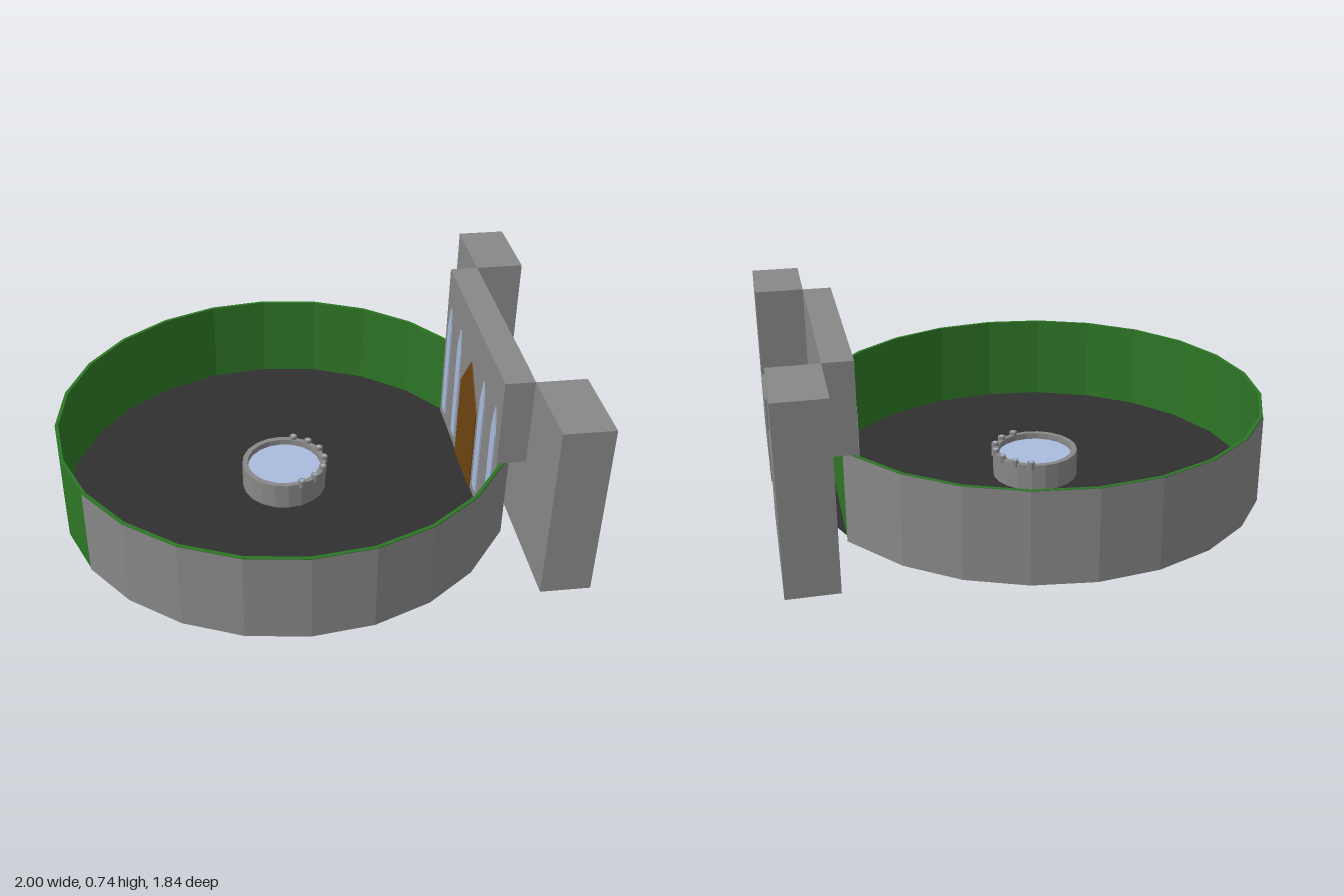
import * as THREE from 'three';

const CX = -0.08, BASE = 0.01, WALL_TOP = 0.375, HALL_TOP = 0.735;

const mat = (color, side = THREE.FrontSide) =>
  new THREE.MeshStandardMaterial({ color, flatShading: true, side });
const stone = mat(0x888888);
const green = mat(0x2d7526);
const dark = mat(0x303030);
const wood = mat(0x6e4412);
const glass = mat(0xaabbdd);

export function createModel() {
  const model = new THREE.Group();

  const add = (name, geometry, material, parent = model) => {
    const mesh = new THREE.Mesh(geometry, material);
    mesh.name = name;
    parent.add(mesh);
    return mesh;
  };

  // box given by its minimum and maximum corners
  const block = (name, [x0, y0, z0], [x1, y1, z1], material) => {
    const mesh = add(name, new THREE.BoxGeometry(x1 - x0, y1 - y0, z1 - z0), material);
    mesh.position.set((x0 + x1) / 2, (y0 + y1) / 2, (z0 + z1) / 2);
    return mesh;
  };

  // corners of the 24-sided round between two angles in degrees
  const arc = (radius, from, to) => {
    const points = [];
    for (let a = from; a <= to; a += 15) {
      const t = THREE.MathUtils.degToRad(a);
      points.push(new THREE.Vector2(CX + radius * Math.cos(t), radius * Math.sin(t)));
    }
    return points;
  };

  // courtyard floor
  add('floor', new THREE.CylinderGeometry(0.905, 0.905, BASE, 24), dark)
    .position.set(CX, BASE / 2, 0);

  // green ring wall, cut off straight at the gate side
  const tailStart = new THREE.Vector2(0.745, 0.423);
  const tailEnd = new THREE.Vector2(0.745, -0.423);
  const outline = new THREE.Shape([tailStart, ...arc(0.919, 30, 330), tailEnd]);
  outline.holes.push(new THREE.Path(arc(0.905, 30, 330)));
  const ring = new THREE.ExtrudeGeometry(outline, { depth: WALL_TOP - BASE, bevelEnabled: false });
  ring.rotateX(-Math.PI / 2);
  add('ringWall', ring, green).position.y = BASE;

  // stone cladding around the ring, leaving two panels bare
  const cladding = (name, points) => {
    const pos = [], index = [];
    points.forEach((p, i) => {
      pos.push(p.x, BASE, p.y, p.x, WALL_TOP, p.y);
      if (i) {
        const a = 2 * i - 2;
        index.push(a, a + 1, a + 2, a + 2, a + 1, a + 3);
      }
    });
    const g = new THREE.BufferGeometry();
    g.setAttribute('position', new THREE.Float32BufferAttribute(pos, 3));
    g.setIndex(index);
    g.computeVertexNormals();
    add(name, g, stone);
  };
  cladding('frontCladding', [new THREE.Vector2(0.747, 0.424), ...arc(0.922, 30, 150)]);
  cladding('backCladding', [...arc(0.922, 180, 330), new THREE.Vector2(0.747, -0.424)]);

  // hall above the wall and the facade beneath it
  block('hall', [0.69, WALL_TOP, -0.455], [0.805, HALL_TOP, 0.455], stone);
  block('facade', [0.69, BASE, -0.455], [0.715, WALL_TOP, 0.455], stone);

  // gate towers and lower gate piers
  for (const s of [1, -1]) {
    const span = (a, b) => (s > 0 ? [a, b] : [-b, -a]);
    const [t0, t1] = span(0.455, 0.79);
    block('tower', [0.805, BASE, t0], [1, HALL_TOP, t1], stone);
    const [p0, p1] = span(0.16, 0.455);
    block('gatePier', [0.805, BASE, p0], [1, WALL_TOP, p1], stone);
  }

  // pointed panels on the courtyard face
  const pointed = (name, z, width, y0, shoulder, peak, material) => {
    const w = width / 2;
    const shape = new THREE.Shape([[-w, y0], [w, y0], [w, shoulder], [0, peak], [-w, shoulder]]
      .map(([x, y]) => new THREE.Vector2(x, y)));
    const g = new THREE.ExtrudeGeometry(shape, { depth: 0.008, bevelEnabled: false });
    g.rotateY(-Math.PI / 2);
    add(name, g, material).position.set(0.692, 0, z);
  };
  pointed('door', 0, 0.26, BASE, 0.385, 0.55, wood);
  for (const z of [-0.38, -0.2, 0.2, 0.38]) {
    pointed('window', z, 0.055, 0.06, 0.48, 0.585, glass);
  }

  // fountain basin, water and spouts
  const fountain = new THREE.Group();
  fountain.name = 'fountain';
  fountain.position.set(CX, BASE, 0);
  model.add(fountain);
  const profile = [[0.175, 0], [0.175, 0.11], [0.153, 0.11], [0.153, 0.06]]
    .map(([x, y]) => new THREE.Vector2(x, y));
  add('basin', new THREE.LatheGeometry(profile, 20), stone, fountain);
  add('water', new THREE.CylinderGeometry(0.154, 0.154, 0.08, 20), glass, fountain).position.y = 0.045;
  for (let i = -3; i <= 3; i++) {
    const t = i * 0.41;
    const x = 0.168 * Math.cos(t), z = 0.168 * Math.sin(t);
    add('spout', new THREE.CylinderGeometry(0.016, 0.016, 0.03, 8), stone, fountain)
      .position.set(x, 0.108, z);
    add('spoutWater', new THREE.CylinderGeometry(0.007, 0.007, 0.004, 8), glass, fountain)
      .position.set(x, 0.123, z);
  }

  return model;
}
